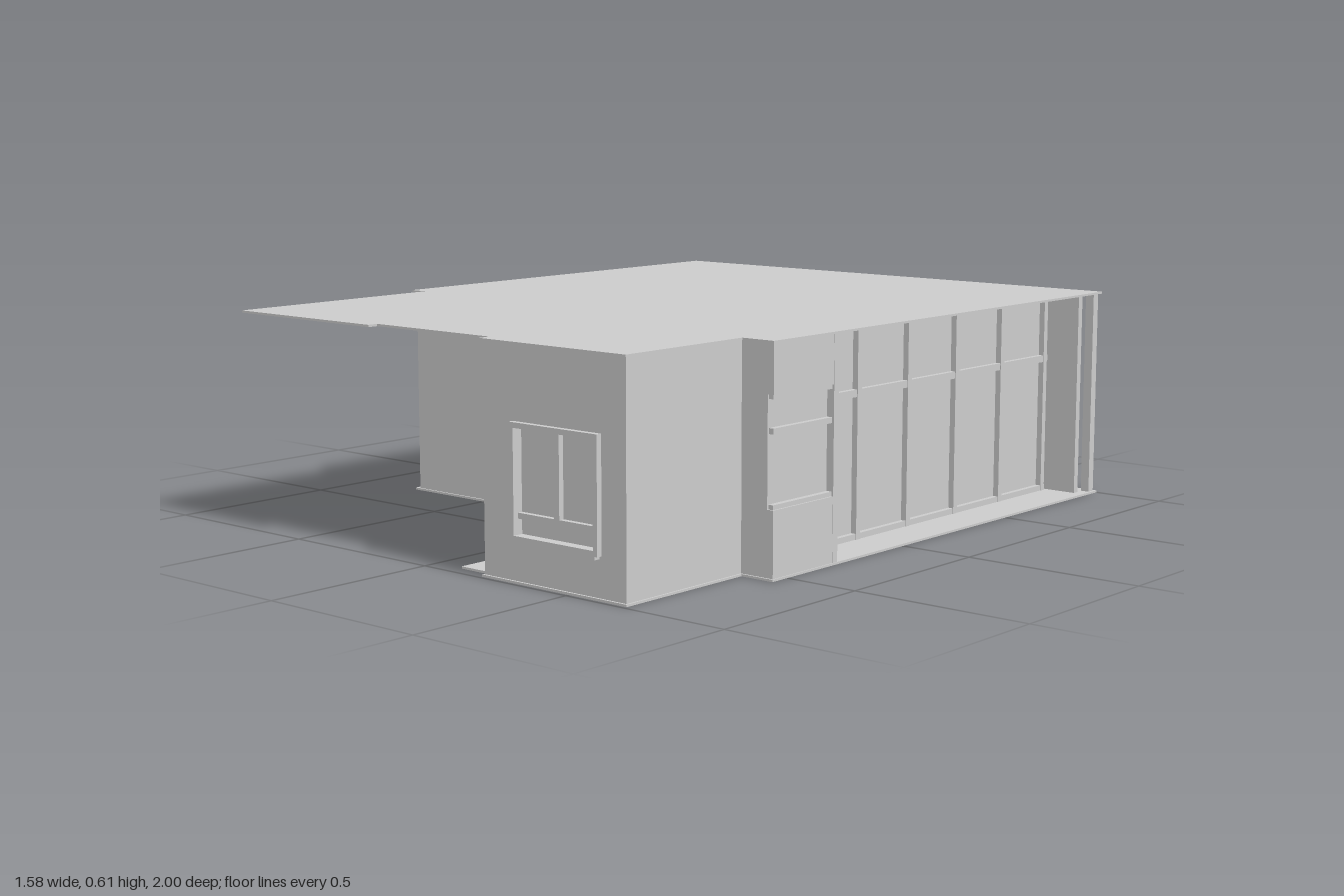
import * as THREE from 'three';

const H = 0.605; // total height
const T = 0.006; // slab thickness

export function createModel() {
  const model = new THREE.Group();
  const grey = new THREE.MeshStandardMaterial({ color: 0xcccccc, flatShading: true });
  const brown = new THREE.MeshStandardMaterial({ color: 0x7a4a1c, flatShading: true });

  // Box given by its limits on each axis
  function block(name, x0, x1, y0, y1, z0, z1, material = grey) {
    const mesh = new THREE.Mesh(new THREE.BoxGeometry(x1 - x0, y1 - y0, z1 - z0), material);
    mesh.position.set((x0 + x1) / 2, (y0 + y1) / 2, (z0 + z1) / 2);
    mesh.name = name;
    model.add(mesh);
    return mesh;
  }
  // Wall from floor slab to roof slab
  const wall = (name, x0, x1, z0, z1) => block(name, x0, x1, T, H - T, z0, z1);

  // Flat slab from an outline of [x, z] points
  function slab(name, outline, y) {
    const shape = new THREE.Shape(outline.map(([x, z]) => new THREE.Vector2(x, -z)));
    const geo = new THREE.ExtrudeGeometry(shape, { depth: T, bevelEnabled: false });
    geo.rotateX(-Math.PI / 2);
    const mesh = new THREE.Mesh(geo, grey);
    mesh.position.y = y;
    mesh.name = name;
    model.add(mesh);
  }

  const rightSide = [[0.2, 0.99], [0.69, 0.99], [0.69, 0.56], [0.79, 0.56], [0.79, -1]];
  slab('floor', [[-0.79, -1], [-0.79, 0.305], [-0.185, 0.305], [-0.185, 0.605], [0.095, 0.605],
    [0.095, 0.96], [0.2, 0.96], ...rightSide], 0);
  slab('roof', [[-0.79, -1], [-0.79, 0.305], [-0.735, 0.305], [-0.735, 0.985], [-0.215, 0.985],
    [-0.215, 0.955], [0.2, 0.955], ...rightSide], H - T);

  // Front room with a window opening
  const win = { x0: 0.31, x1: 0.605, y0: 0.11, y1: 0.408 };
  block('frontRoomWall', 0.205, win.x0, T, H - T, 0.96, 0.984);
  block('frontRoomWall', win.x1, 0.685, T, H - T, 0.96, 0.984);
  block('frontRoomWall', win.x0, win.x1, T, win.y0, 0.96, 0.984);
  block('frontRoomWall', win.x0, win.x1, win.y1, H - T, 0.96, 0.984);
  wall('frontRoomRightWall', 0.665, 0.685, 0.54, 0.96);
  wall('frontRoomLeftWall', 0.205, 0.225, 0.58, 0.96);

  // Front window: frame, mullion, transom, panes and sill
  const f = 0.014;
  for (const [a, b] of [[win.x0, win.x0 + f], [win.x1 - f, win.x1]])
    block('windowFrame', a, b, win.y0, win.y1, 0.962, 1);
  for (const [a, b] of [[win.y0, win.y0 + f], [win.y1 - f, win.y1]])
    block('windowFrame', win.x0 + f, win.x1 - f, a, b, 0.962, 1);
  block('windowMullion', 0.448, 0.466, 0.18, win.y1 - f, 0.965, 0.985);
  block('windowTransom', win.x0 + f, win.x1 - f, 0.165, 0.18, 0.965, 0.985);
  block('windowPane', win.x0 + f, win.x1 - f, win.y0 + f, win.y1 - f, 0.962, 0.97);
  block('windowSill', win.x0 + 0.008, win.x1 - 0.008, 0.102, 0.112, 0.98, 1);

  // Entrance recess under the roof overhang
  wall('entranceWall', -0.18, 0.205, 0.58, 0.6);
  wall('entranceSideWall', -0.18, -0.16, 0.3, 0.58);
  block('entranceLintel', 0.08, 0.1, 0.45, H - T, 0.6, 0.74);
  wall('frontLeftWall', -0.775, -0.16, 0.28, 0.3);

  // Right bay with a corner window
  wall('bayFrontWall', 0.685, 0.768, 0.535, 0.555);
  block('baySillWall', 0.768, 0.787, T, 0.18, 0.31, 0.555);
  block('bayLintel', 0.768, 0.787, 0.47, H - T, 0.31, 0.555);
  block('bayPane', 0.755, 0.766, 0.18, 0.47, 0.31, 0.54);
  block('bayTransom', 0.762, 0.782, 0.37, 0.385, 0.31, 0.55);
  for (const y of [0.18, 0.458]) block('bayWindowFrame', 0.762, 0.782, y, y + 0.012, 0.31, 0.55);
  wall('bayEndWall', 0.65, 0.788, 0.29, 0.31);

  // Glazed veranda wall
  const z0 = -0.91, z1 = 0.29;
  wall('verandaGlass', 0.638, 0.648, z0, z1);
  for (let i = 0; i < 6; i++) {
    const z = 0.265 - i * 0.232;
    wall('verandaMullion', 0.636, 0.665, z - 0.009, z + 0.009);
  }
  for (const [a, b] of [[T, 0.022], [0.395, 0.415], [0.58, H - T]])
    block('verandaRail', 0.637, 0.663, a, b, z0, z1);
  wall('verandaEndPanel', 0.62, 0.76, -0.94, -0.92);
  wall('verandaPost', 0.757, 0.783, -0.99, -0.965);

  // Back wall with a recessed bay
  wall('backWall', -0.21, 0.63, -0.988, -0.92);
  wall('backRecessPanel', -0.37, -0.21, -0.93, -0.91);
  wall('backWall', -0.555, -0.37, -0.985, -0.91);
  wall('backCornerWall', -0.78, -0.555, -0.995, -0.91);
  wall('backTrim', -0.225, -0.21, -0.992, -0.985);

  // Left wall in shallow panels, with a door
  const seams = [-0.91, -0.61, -0.03, 0.25, 0.29];
  for (let i = 0; i < 4; i++)
    wall('leftWall', -0.78 + (i % 2) * 0.005, -0.755, seams[i], seams[i + 1]);
  block('leftDoor', -0.785, -0.77, T, 0.357, -0.44, -0.27);
  block('doorEdge', -0.786, -0.77, T, 0.355, -0.622, -0.6, brown);
  return model;
}
